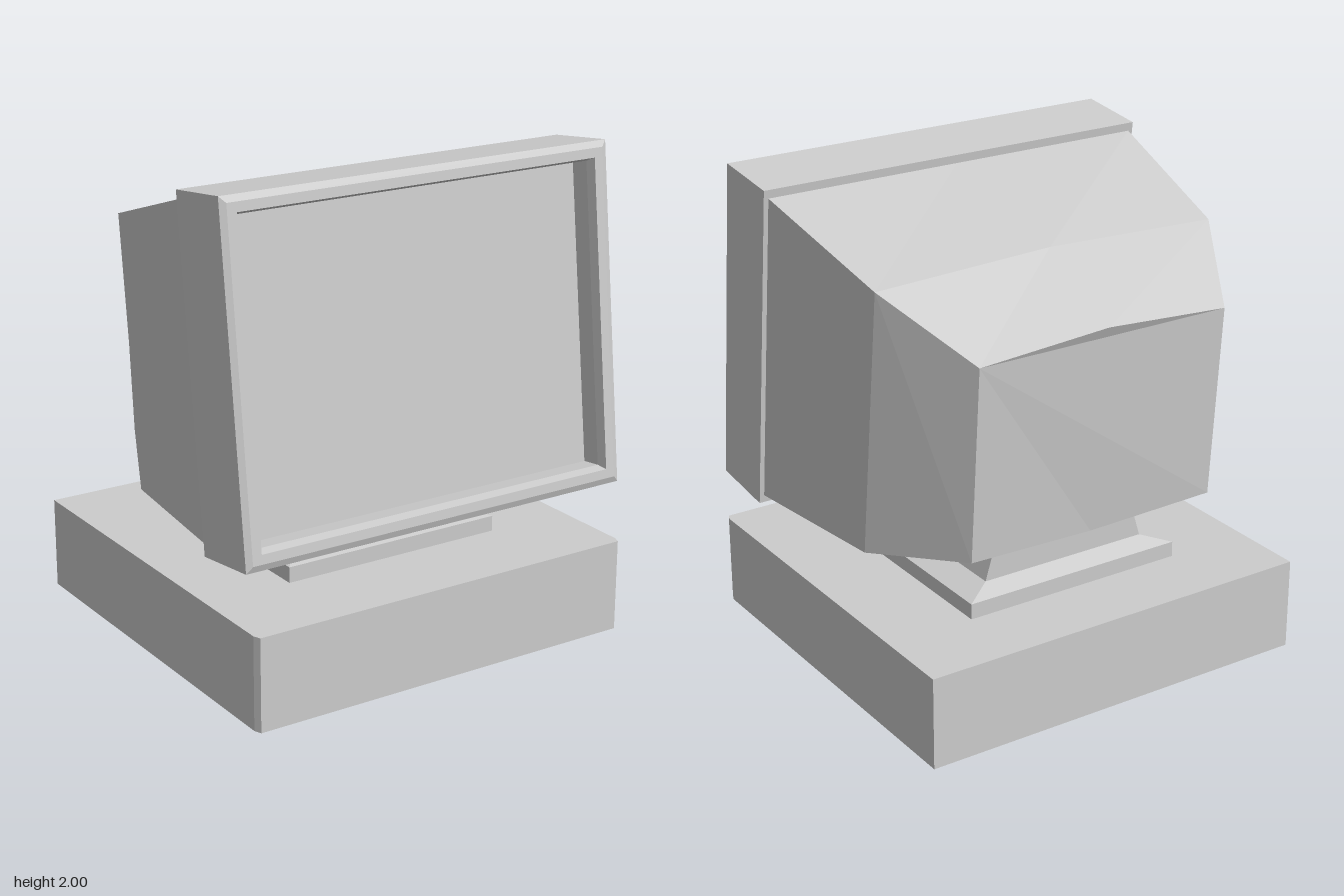
import * as THREE from 'three';

const material = new THREE.MeshStandardMaterial({ color: 0xcccccc, flatShading: true });

// Skin a list of rings; each ring runs counterclockwise seen from the end of the list.
function loft(name, rings, capStart = true, capEnd = true) {
  const pos = [];
  const n = rings[0].length;
  const tri = (a, b, c) => pos.push(...a, ...b, ...c);
  for (let r = 0; r < rings.length - 1; r++) {
    for (let i = 0; i < n; i++) {
      const j = (i + 1) % n;
      tri(rings[r][i], rings[r][j], rings[r + 1][j]);
      tri(rings[r][i], rings[r + 1][j], rings[r + 1][i]);
    }
  }
  const last = rings[rings.length - 1];
  for (let i = 1; i < n - 1; i++) {
    if (capStart) tri(rings[0][0], rings[0][i + 1], rings[0][i]);
    if (capEnd) tri(last[0], last[i], last[i + 1]);
  }
  const geometry = new THREE.BufferGeometry();
  geometry.setAttribute('position', new THREE.Float32BufferAttribute(pos, 3));
  geometry.computeVertexNormals();
  const mesh = new THREE.Mesh(geometry, material);
  mesh.name = name;
  return mesh;
}

// Upright rectangle at depth z, and level rectangle at height y
const uprightRing = (w, h, z) => [[w, h, z], [-w, h, z], [-w, -h, z], [w, -h, z]];
const levelRing = (w, back, front, y) => [[w, y, back], [-w, y, back], [-w, y, front], [w, y, front]];

// Housing section: six corners, with the top and bottom peaked at the middle
function housingRing({ w, top, topMid, bottom, bottomMid }) {
  const [ty, tz] = top, [my, mz] = topMid, [by, bz] = bottom, [ny, nz] = bottomMid;
  return [[w, ty, tz], [0, my, mz], [-w, ty, tz], [-w, by, bz], [0, ny, nz], [w, by, bz]];
}

export function createModel() {
  const model = new THREE.Group();
  model.name = 'desktopComputer';

  // Computer case with narrow chamfers on the front corners
  const caseRing = (y) => [
    [0.86, y, -0.83], [-0.86, y, -0.83], [-0.86, y, 0.8],
    [-0.848, y, 0.83], [0.848, y, 0.83], [0.86, y, 0.8],
  ];
  model.add(loft('computerCase', [caseRing(0), caseRing(0.385)]));

  // Stepped swivel foot and tapering neck
  model.add(loft('monitorStand', [
    levelRing(0.49, -0.52, 0.46, 0.385),
    levelRing(0.49, -0.52, 0.46, 0.45),
    levelRing(0.375, -0.445, 0.325, 0.485),
    levelRing(0.31, -0.445, 0.325, 0.7),
  ]));

  // Faceted rear housing, from back to front; corners given as [y, z]
  model.add(loft('rearHousing', [
    { w: 0.565, top: [1.51, -0.70], topMid: [1.555, -0.72], bottom: [0.70, -0.64], bottomMid: [0.675, -0.62] },
    { w: 0.775, top: [1.73, -0.325], topMid: [1.76, -0.33], bottom: [0.62, -0.2], bottomMid: [0.605, -0.2] },
    { w: 0.855, top: [1.93, 0.325], topMid: [1.93, 0.325], bottom: [0.622, 0.478], bottomMid: [0.622, 0.478] },
  ].map(housingRing)));

  // Tilted bezel and recessed screen
  const display = new THREE.Group();
  display.name = 'display';
  display.position.set(0, 1.2775, 0.4);
  display.rotation.x = -0.115;
  display.add(loft('bezel', [
    uprightRing(0.875, 0.692, 0),
    uprightRing(0.875, 0.692, 0.302),
    uprightRing(0.85, 0.666, 0.314),
    uprightRing(0.81, 0.628, 0.314),
    uprightRing(0.8, 0.615, 0.274),
    uprightRing(0.8, 0.615, 0.19),
  ], true, false));
  const screen = new THREE.Mesh(new THREE.PlaneGeometry(1.6, 1.23), material);
  screen.name = 'screen';
  screen.position.z = 0.19;
  display.add(screen);
  model.add(display);

  return model;
}
